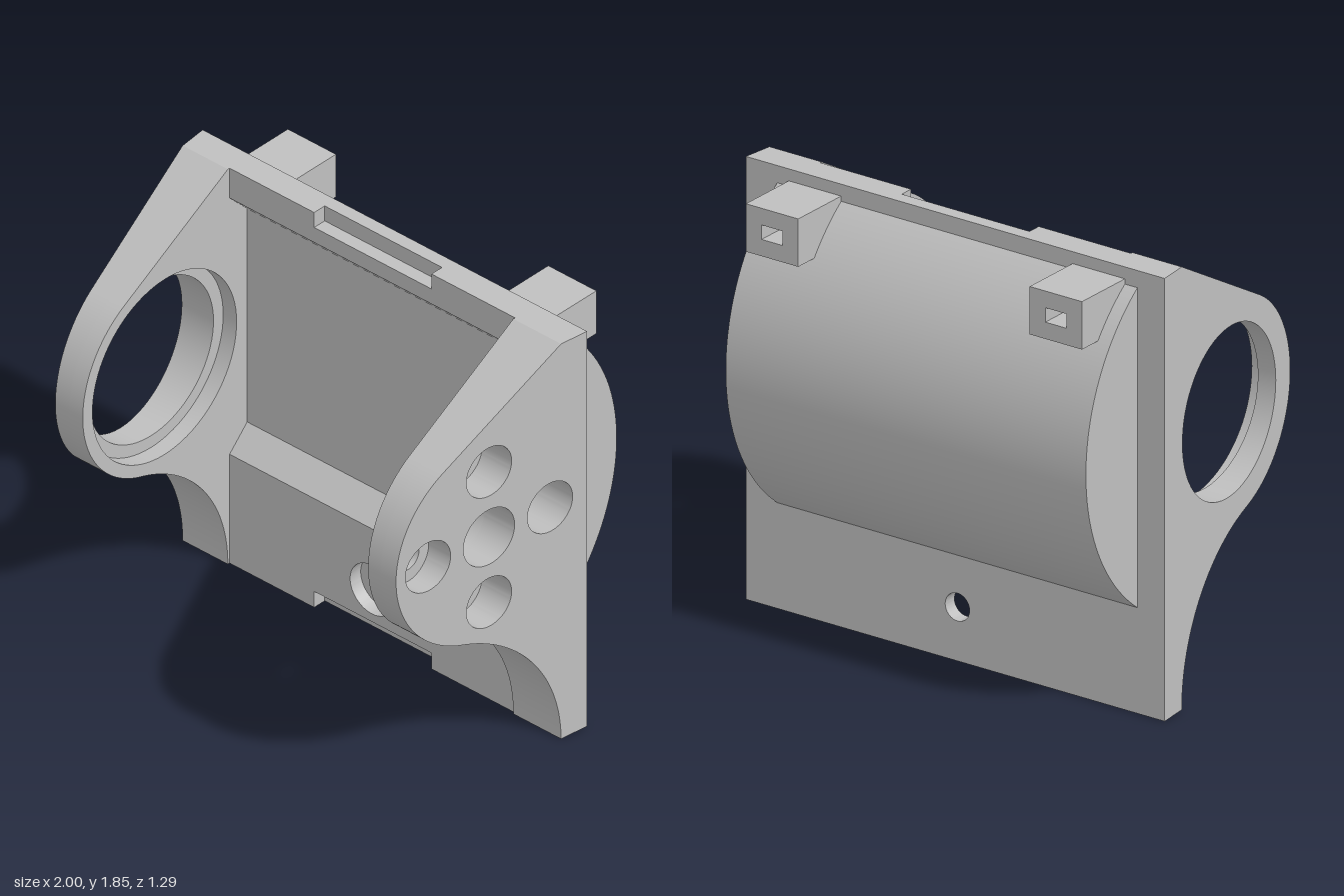
import * as THREE from 'three';
import { toCreasedNormals } from 'three/addons/utils/BufferGeometryUtils.js';

const rad = THREE.MathUtils.degToRad;

export function createModel() {
  const model = new THREE.Group();
  model.name = 'motorBracket';
  const grey = new THREE.MeshStandardMaterial({ color: 0xbfbfbf });
  grey.name = 'light grey';

  const polygon = pts => new THREE.Shape(pts.map(p => new THREE.Vector2(...p)));
  const rect = (x0, x1, y0, y1) => polygon([[x0, y0], [x1, y0], [x1, y1], [x0, y1]]);
  const drill = (shape, x, y, r) => {
    shape.holes.push(new THREE.Path().absarc(x, y, r, 0, Math.PI * 2, true));
    return shape;
  };

  // Extrude a shape from a to b along z or x (then shape u = -z), move its vertices by a rule
  function add(name, shape, axis, a, b, rule) {
    const geo = new THREE.ExtrudeGeometry(shape, { depth: b - a, bevelEnabled: false, curveSegments: 40 });
    geo.translate(0, 0, a);
    if (axis === 'x') geo.rotateY(Math.PI / 2);
    if (rule) {
      const p = geo.attributes.position, v = new THREE.Vector3();
      for (let i = 0; i < p.count; i++) {
        rule(v.fromBufferAttribute(p, i));
        p.setXYZ(i, v.x, v.y, v.z);
      }
      geo.computeVertexNormals();
    }
    const mesh = new THREE.Mesh(toCreasedNormals(geo, rad(28)), grey);
    mesh.name = name;
    model.add(mesh);
  }

  // Side arms: rounded profile, outer face tapering towards the front
  const axisU = -0.18, axisY = 1.11;
  function armShape() {
    const s = new THREE.Shape();
    s.moveTo(0.31, 0);
    s.lineTo(0.31, 1.85);
    s.lineTo(0.18, 1.85);
    s.absarc(axisU, axisY, 0.465, rad(119.7), rad(253.2), false);
    s.absarc(-0.514, 0, 0.694, rad(73.2), 0, true);
    return s;
  }
  const taper = tip => v => {
    if (Math.abs(v.x) > 0.99) v.x *= 1 - (1 - tip) * (v.z + 0.31) / 0.955;
  };

  // Left arm: central hole and four counterbored screw holes
  function screwArm(r) {
    const s = drill(armShape(), axisU, axisY, 0.128);
    for (const [u, y] of [[1, 0], [-1, 0], [0, 1], [0, -1]]) {
      drill(s, axisU + u * 0.305, axisY + y * 0.305, r);
    }
    return s;
  }
  add('leftArmInner', screwArm(0.058), 'x', 0.735, 0.8);
  add('leftArmOuter', screwArm(0.113), 'x', 0.8, 1, taper(0.88));

  // Right arm: large stepped bearing hole
  add('rightArmInner', drill(armShape(), axisU, axisY, 0.41), 'x', -0.82, -0.75);
  add('rightArmOuter', drill(armShape(), axisU, axisY, 0.355), 'x', -1, -0.82, taper(0.893));

  // Back plate in layers: pocket with sloped edges, notches and a counterbored hole
  const L = -0.75, R = 0.735, n0 = -0.31, n1 = 0.3, holeX = -0.01, holeY = 0.225;
  const slope = v => {
    if (Math.abs(v.y - 0.51) < 0.01) v.y += -0.19 - v.z;
    if (Math.abs(v.y - 1.71) < 0.01) v.y -= -0.19 - v.z;
  };
  const lowerNotched = polygon([[L, 0], [n0, 0], [n0, 0.075], [n1, 0.075], [n1, 0], [R, 0], [R, 0.51], [L, 0.51]]);
  const upperNotched = polygon([[L, 1.71], [R, 1.71], [R, 1.85], [n1, 1.85], [n1, 1.78], [n0, 1.78], [n0, 1.85], [L, 1.85]]);
  add('backPanel', drill(rect(L, R, 0, 1.85), holeX, holeY, 0.058), 'z', -0.31, -0.29);
  add('lowerPlateMiddle', drill(rect(L, R, 0, 0.51), holeX, holeY, 0.058), 'z', -0.29, -0.25, slope);
  add('lowerPlateFront', drill(lowerNotched, holeX, holeY, 0.113), 'z', -0.25, -0.19, slope);
  add('upperPlateMiddle', rect(L, R, 1.71, 1.85), 'z', -0.29, -0.25, slope);
  add('upperPlateFront', upperNotched, 'z', -0.25, -0.19, slope);

  // Rounded back
  const bulge = new THREE.Shape();
  bulge.absarc(-0.195, axisY, 0.8375, -0.9236, 0.9236, false);
  add('roundedBack', bulge, 'x', -0.87, 0.85);

  // Rear lugs with rectangular sockets
  for (const [name, x] of [['rightLug', -0.685], ['leftLug', 0.67]]) {
    const lug = rect(x - 0.125, x + 0.125, 1.6, 1.8);
    lug.holes.push(rect(x - 0.05, x + 0.05, 1.67, 1.73));
    add(name, lug, 'z', -0.587, -0.31);
  }
  return model;
}
